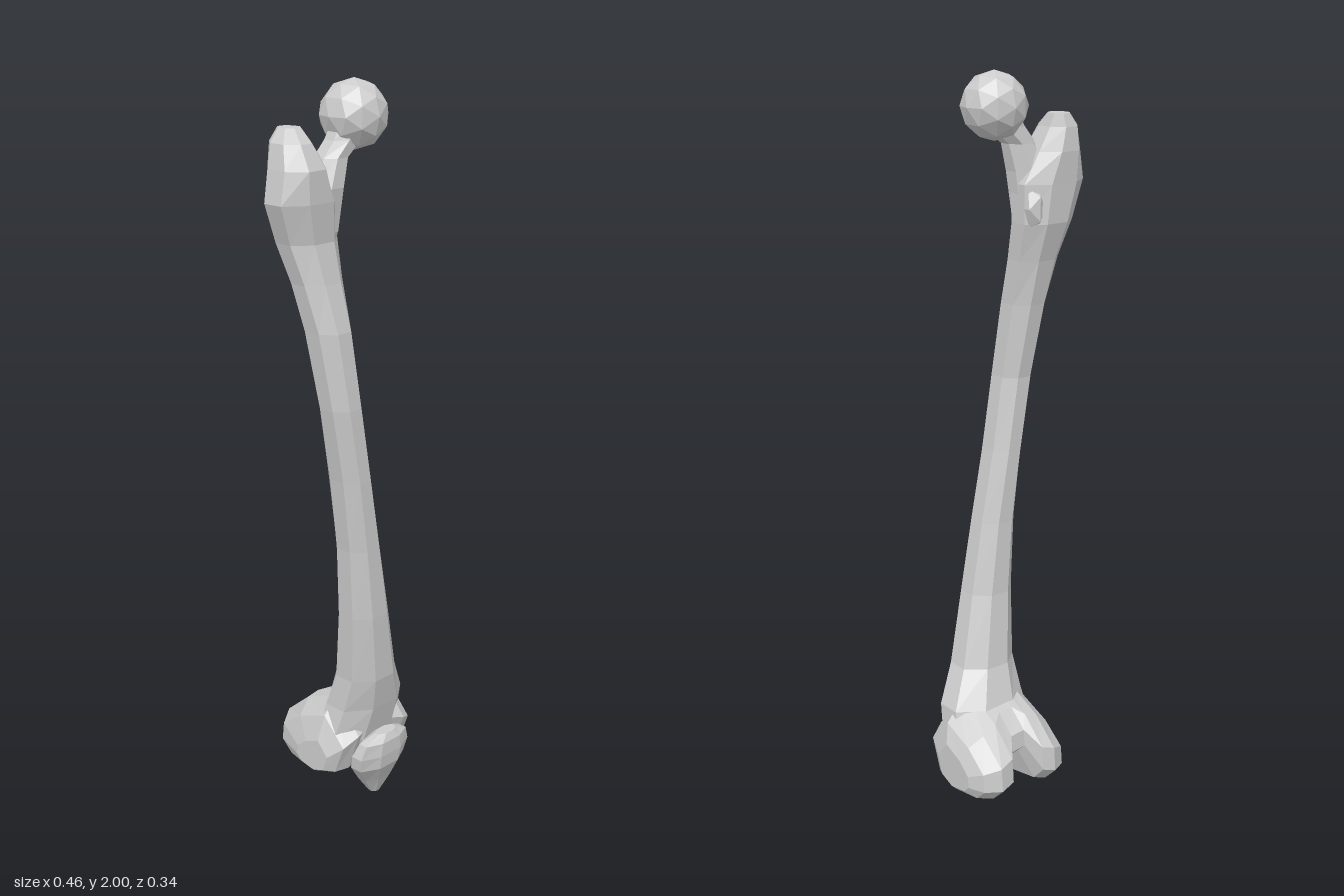
import * as THREE from 'three';

const material = new THREE.MeshStandardMaterial({ color: 0xcccccc, flatShading: true });

// Skin a closed, capped surface over rings with equal point counts
function loft(name, rings) {
  const n = rings[0].length;
  const points = rings.flat();
  const index = [];
  for (let r = 0; r < rings.length - 1; r++) {
    for (let i = 0; i < n; i++) {
      const a = r * n + i, b = r * n + (i + 1) % n;
      index.push(a, b, a + n, b, b + n, a + n);
    }
  }
  const last = (rings.length - 1) * n;
  for (let i = 1; i < n - 1; i++) {
    index.push(0, i + 1, i, last, last + i, last + i + 1);
  }
  // Turn the faces outward if the enclosed volume comes out negative
  let volume = 0;
  for (let i = 0; i < index.length; i += 3) {
    const [a, b, c] = [0, 1, 2].map((k) => points[index[i + k]]);
    volume += a.dot(b.clone().cross(c));
  }
  if (volume < 0) index.reverse();

  const geometry = new THREE.BufferGeometry().setFromPoints(points);
  geometry.setIndex(index);
  geometry.computeVertexNormals();
  const mesh = new THREE.Mesh(geometry, material);
  mesh.name = name;
  return mesh;
}

// Horizontal ring filling a box: [y, xMin, xMax, zMin, zMax]
function levelRing([y, x0, x1, z0, z1], sides = 8) {
  const fit = 1 / Math.cos(Math.PI / sides);
  return Array.from({ length: sides }, (_, i) => {
    const a = ((i + 0.5) / sides) * Math.PI * 2;
    return new THREE.Vector3(
      (x0 + x1) / 2 + (Math.cos(a) * fit * (x1 - x0)) / 2,
      y,
      (z0 + z1) / 2 + (Math.sin(a) * fit * (z1 - z0)) / 2
    );
  });
}

function blob(name, radius, detail, position, scale = [1, 1, 1]) {
  const mesh = new THREE.Mesh(new THREE.IcosahedronGeometry(radius, detail), material);
  mesh.name = name;
  mesh.position.set(...position);
  mesh.scale.set(...scale);
  return mesh;
}

export function createModel() {
  const model = new THREE.Group();
  model.name = 'thighBone';

  // Bowed shaft, flaring below and rising into the greater trochanter
  model.add(loft('shaft', [
    [0.13, -0.04, 0.18, -0.03, 0.08],
    [0.2, -0.06, 0.2, -0.05, 0.11],
    [0.3, -0.04, 0.19, -0.03, 0.135],
    [0.4, -0.035, 0.135, 0.01, 0.155],
    [0.6, -0.05, 0.085, 0.04, 0.165],
    [0.8, -0.065, 0.045, 0.05, 0.165],
    [1.0, -0.09, 0.005, 0.05, 0.165],
    [1.2, -0.125, -0.025, 0.05, 0.16],
    [1.4, -0.15, -0.04, 0.02, 0.14],
    [1.52, -0.17, -0.04, -0.005, 0.11],
    [1.62, -0.195, -0.035, -0.035, 0.09],
    [1.72, -0.23, -0.035, -0.04, 0.1],
    [1.8, -0.215, -0.08, -0.045, 0.1],
    [1.86, -0.2, -0.11, -0.04, 0.07],
    [1.893, -0.17, -0.12, -0.03, 0.03],
  ].map((r) => levelRing(r))));

  // Neck and rounded head
  model.add(loft('neck', [
    [1.64, -0.12, -0.04, 0, 0.085],
    [1.75, -0.13, -0.03, 0, 0.1],
    [1.82, -0.1, -0.015, 0.015, 0.095],
    [1.86, -0.07, 0.03, 0.02, 0.1],
    [1.92, -0.04, 0.04, 0.03, 0.1],
  ].map((r) => levelRing(r))));
  model.add(blob('head', 0.087, 1, [0.013, 1.915, 0.062]));
  model.add(blob('lesserTrochanter', 0.04, 0, [-0.062, 1.66, 0.0], [0.8, 1.5, 0.9]));

  // Twin condyles with a notch: one side profile resized across the width
  const profile = [
    [0, 0.25], [0.02, 0.52], [0.3, 0.8], [0.7, 1],
    [1, 0.6], [0.87, 0.15], [0.55, 0], [0.15, 0.08],
  ];
  // [x, zBack, zFront, yBottom, yTop]
  const sections = [
    [-0.08, -0.06, 0.06, 0.1, 0.2],
    [-0.055, -0.145, 0.1, 0.08, 0.27],
    [-0.01, -0.17, 0.115, 0.07, 0.32],
    [0.025, -0.16, 0.11, 0.08, 0.33],
    [0.047, -0.105, 0.09, 0.16, 0.33],
    [0.09, -0.105, 0.09, 0.15, 0.33],
    [0.125, -0.155, 0.115, 0.075, 0.33],
    [0.17, -0.165, 0.12, 0.07, 0.31],
    [0.21, -0.135, 0.1, 0.08, 0.27],
    [0.23, -0.09, 0.05, 0.1, 0.22],
  ];
  model.add(loft('condyles', sections.map(([x, zb, zf, yb, yt]) =>
    profile.map(([u, v]) => new THREE.Vector3(x, yb + v * (yt - yb), zb + u * (zf - zb))))));

  // Kneecap in front of the condyles
  model.add(loft('kneecap', [
    [0.005, 0.065, 0.095, 0.075, 0.105],
    [0.06, 0.025, 0.135, 0.06, 0.13],
    [0.12, -0.02, 0.155, 0.07, 0.16],
    [0.16, -0.025, 0.165, 0.08, 0.165],
    [0.2, -0.01, 0.15, 0.1, 0.165],
    [0.22, 0.04, 0.11, 0.12, 0.155],
  ].map((r) => levelRing(r))));

  return model;
}
